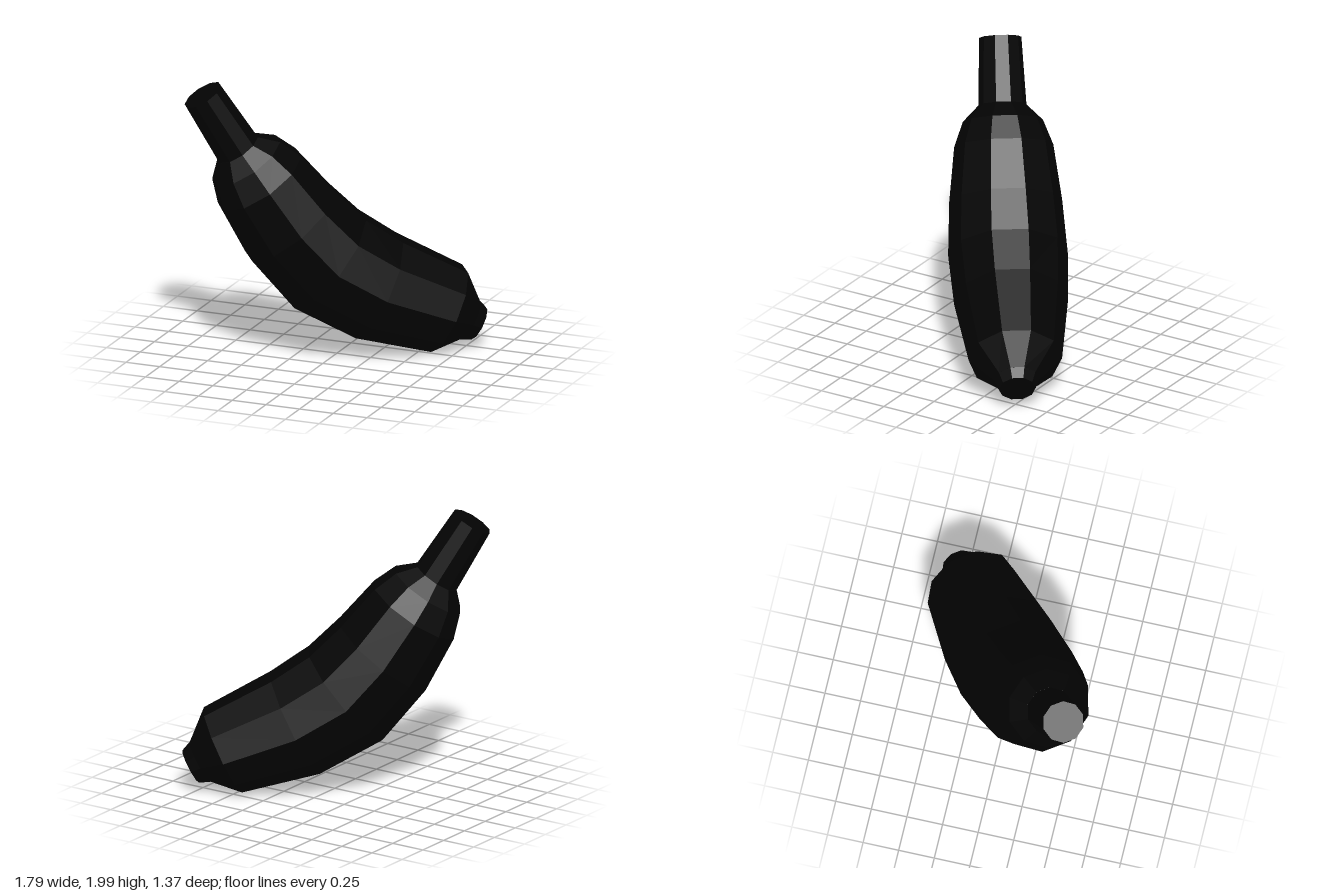
import * as THREE from 'three';

const SIDES = 10;
const HEADING = Math.atan2(0.57, 0.82); // vertical plane in which the fruit bends
const ALONG = new THREE.Vector3(Math.cos(HEADING), 0, -Math.sin(HEADING));
const ACROSS = new THREE.Vector3(Math.sin(HEADING), 0, Math.cos(HEADING));

// Closed faceted tube through rings given as [distance along the plane, height, radius]
function ringTube(rings) {
  const centres = rings.map(([u, y]) =>
    new THREE.Vector3(0, y, 0).addScaledVector(ALONG, u).addScaledVector(ACROSS, 0.01));
  const last = rings.length - 1;
  const pos = [];
  const index = [];

  rings.forEach(([, , r], i) => {
    // ring stands square to the average of its two neighbouring segments
    const dir = new THREE.Vector3();
    if (i > 0) dir.add(centres[i].clone().sub(centres[i - 1]).normalize());
    if (i < last) dir.add(centres[i + 1].clone().sub(centres[i]).normalize());
    dir.normalize();
    const up = dir.clone().cross(ACROSS);
    for (let k = 0; k < SIDES; k++) {
      const t = (k / SIDES) * Math.PI * 2;
      const p = centres[i].clone()
        .addScaledVector(ACROSS, r * Math.cos(t))
        .addScaledVector(up, r * Math.sin(t));
      pos.push(p.x, p.y, p.z);
    }
  });
  pos.push(...centres[0].toArray(), ...centres[last].toArray());

  const start = rings.length * SIDES;
  const end = start + 1;
  for (let k = 0; k < SIDES; k++) {
    const n = (k + 1) % SIDES;
    for (let i = 0; i < last; i++) {
      const a = i * SIDES;
      const b = a + SIDES;
      index.push(a + k, a + n, b + n, a + k, b + n, b + k);
    }
    index.push(start, n, k, end, last * SIDES + k, last * SIDES + n);
  }

  const geo = new THREE.BufferGeometry();
  geo.setAttribute('position', new THREE.Float32BufferAttribute(pos, 3));
  geo.setIndex(index);
  const flat = geo.toNonIndexed();
  flat.computeVertexNormals();
  return flat;
}

export function createModel() {
  const group = new THREE.Group();
  group.name = 'banana';
  const skin = new THREE.MeshStandardMaterial({ color: 0x030303, flatShading: true });

  const add = (name, rings) => {
    const mesh = new THREE.Mesh(ringTube(rings), skin);
    mesh.name = name;
    group.add(mesh);
  };

  // Straight stem, slightly wider at its base
  add('stem', [
    [-0.94, 1.925, 0.145],
    [-0.697, 1.527, 0.165],
  ]);

  // Curved fruit, from the shoulder to the blunt lower end
  add('fruit', [
    [-0.697, 1.527, 0.165],
    [-0.637, 1.435, 0.275],
    [-0.543, 1.29, 0.34],
    [-0.33, 0.974, 0.387],
    [-0.075, 0.69, 0.41],
    [0.27, 0.477, 0.39],
    [0.765, 0.28, 0.32],
    [0.92, 0.195, 0.155],
  ]);

  // Short blossom tip
  add('tip', [
    [0.92, 0.195, 0.155],
    [0.985, 0.16, 0.125],
  ]);

  return group;
}
